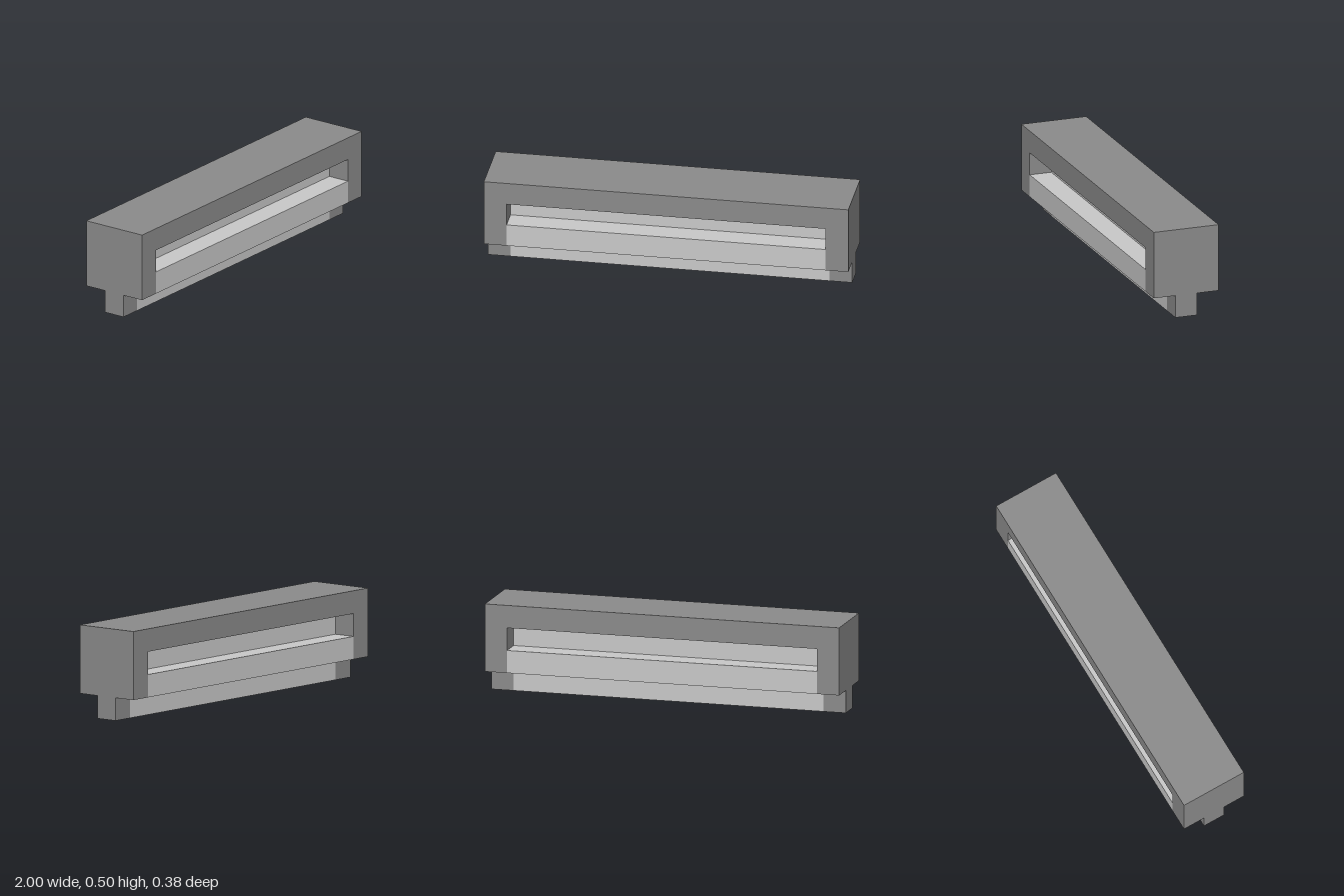
import * as THREE from 'three';

const frameGrey = new THREE.MeshStandardMaterial({ color: 0x8b8b8b });
frameGrey.name = 'frameGrey';
const panelGrey = new THREE.MeshStandardMaterial({ color: 0xc9c9c9 });
panelGrey.name = 'panelGrey';

// Extrude a mirrored cross-section (half widths in z against y) along x
function bar(name, half, x0, x1, material) {
  const points = [
    ...half.map(([z, y]) => new THREE.Vector2(z, y)),
    ...half.slice().reverse().map(([z, y]) => new THREE.Vector2(-z, y)),
  ];
  const geometry = new THREE.ExtrudeGeometry(new THREE.Shape(points), {
    depth: x1 - x0,
    bevelEnabled: false,
  });
  geometry.rotateY(Math.PI / 2);
  geometry.translate(x0, 0, 0);
  const mesh = new THREE.Mesh(geometry, material);
  mesh.name = name;
  return mesh;
}

export function createModel() {
  const group = new THREE.Group();
  group.name = 'slottedBar';

  const wide = 0.1875, narrow = 0.0625, inner = 0.875;

  // End caps: wide block on a narrow foot
  const endProfile = [[narrow, 0], [narrow, 0.125], [wide, 0.125], [wide, 0.5]];
  group.add(bar('leftEnd', endProfile, inner, 1, frameGrey));
  group.add(bar('rightEnd', endProfile, -1, -inner, frameGrey));

  // Top rail between the ends
  group.add(bar('topRail', [[wide, 0.375], [wide, 0.5]], -inner, inner, frameGrey));

  // Pale core: foot, ledge on both sides, and recessed wall up to the rail
  const coreProfile = [
    [narrow, 0], [narrow, 0.125], [wide, 0.125],
    [wide, 0.25], [narrow, 0.25], [narrow, 0.375],
  ];
  group.add(bar('core', coreProfile, -inner, inner, panelGrey));

  return group;
}
